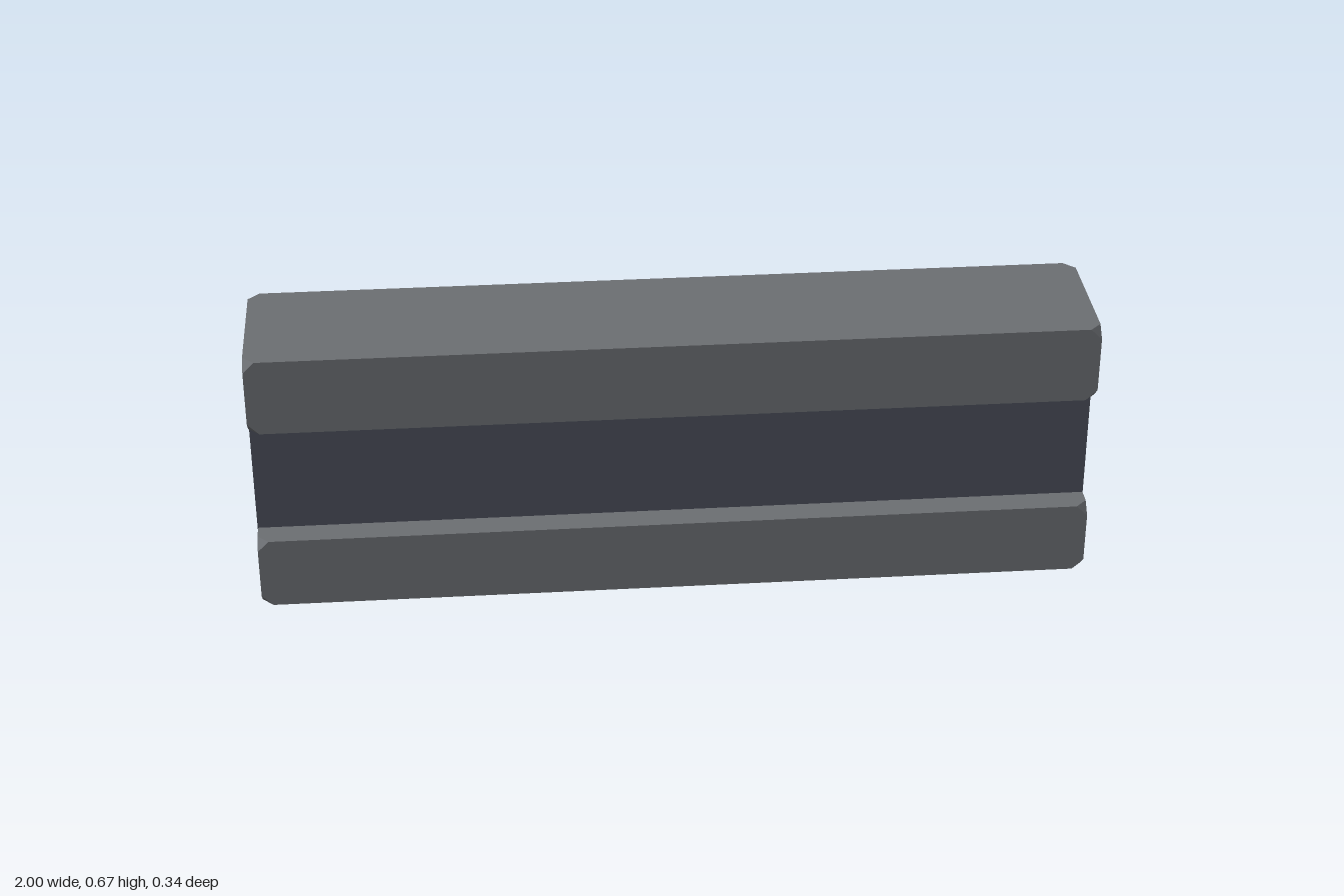
import * as THREE from 'three';
import { ConvexGeometry } from 'three/addons/geometries/ConvexGeometry.js';

const railColor = new THREE.MeshStandardMaterial({ color: 0x6c6f73, flatShading: true });
const webColor = new THREE.MeshStandardMaterial({ color: 0x4a4e5a, flatShading: true });

// Block whose eight corners are each cut off by a small triangle
function choppedBlock(name, min, max, cut, material) {
  const points = [];
  for (let corner = 0; corner < 8; corner++) {
    const high = [0, 1, 2].map((axis) => (corner >> axis) & 1);
    for (let axis = 0; axis < 3; axis++) {
      const p = high.map((h, i) => (h ? max[i] : min[i]));
      p[axis] += high[axis] ? -cut : cut;
      points.push(new THREE.Vector3(...p));
    }
  }
  const mesh = new THREE.Mesh(new ConvexGeometry(points), material);
  mesh.name = name;
  return mesh;
}

export function createModel() {
  const model = new THREE.Group();
  model.name = 'beam';

  // Wide rails along the top and bottom
  model.add(choppedBlock('topRail', [-0.999, 0.475, -0.172], [0.999, 0.665, 0.168], 0.027, railColor));
  model.add(choppedBlock('bottomRail', [-0.999, 0.001, -0.157], [0.999, 0.181, 0.173], 0.027, railColor));

  // Narrow darker web running through both rails, its right end leaning in slightly at the top
  const web = choppedBlock('web', [-1, 0, -0.142], [1, 0.625, 0.108], 0.027, webColor);
  const pos = web.geometry.attributes.position;
  for (let i = 0; i < pos.count; i++) {
    if (pos.getX(i) > 0.5 && pos.getY(i) > 0.3) pos.setX(i, pos.getX(i) - 0.002);
  }
  web.geometry.computeVertexNormals();
  model.add(web);

  return model;
}
